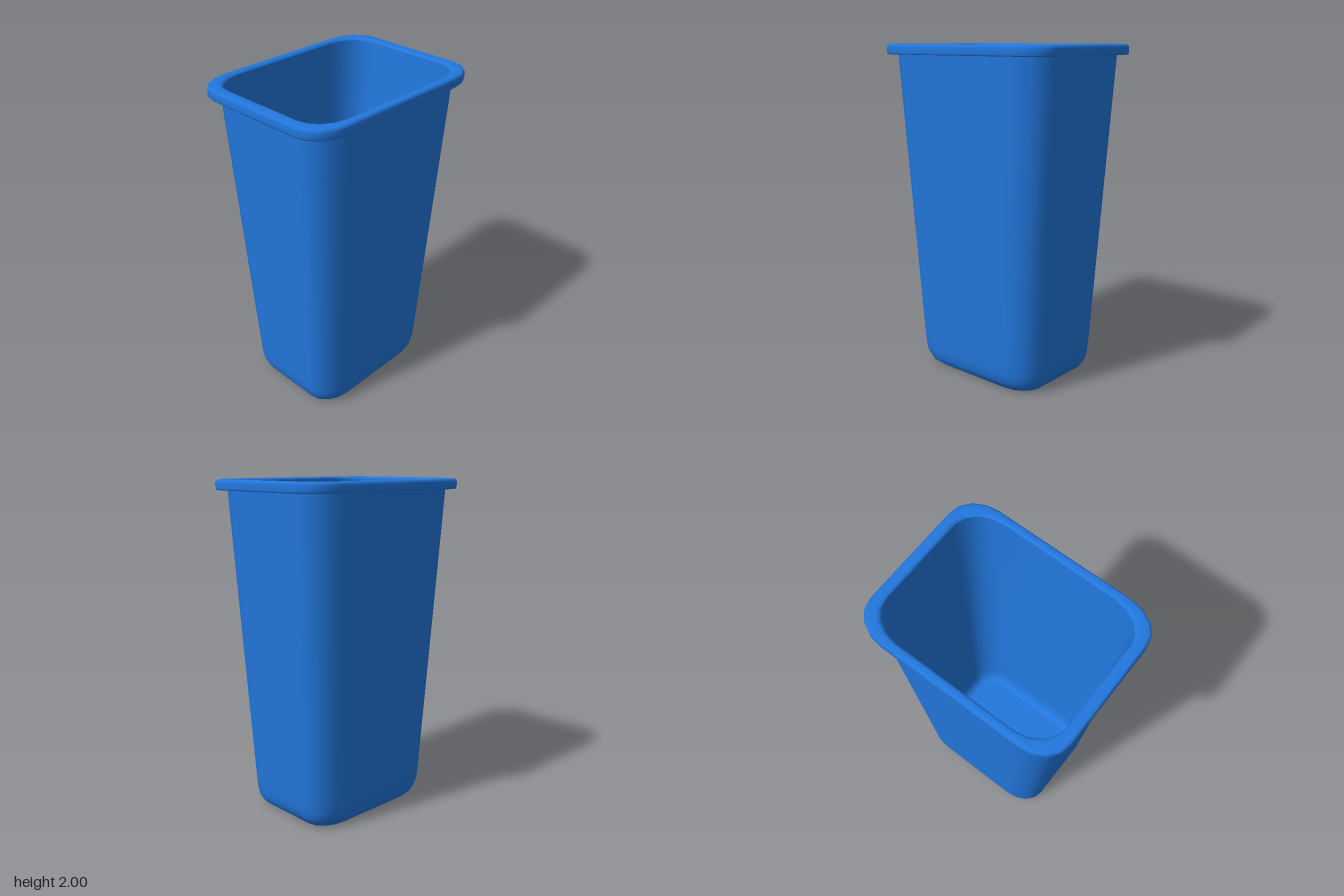
import * as THREE from 'three';

const CORNER_STEPS = 4;

// Rounded rectangle loop with half sizes hx, hz at height y
function ring([hx, hz, y]) {
  const rx = Math.min(0.2, hx * 0.4), rz = Math.min(0.16, hz * 0.42);
  const points = [];
  for (let q = 0; q < 4; q++) {
    const sx = q === 0 || q === 3 ? 1 : -1, sz = q < 2 ? 1 : -1;
    for (let i = 0; i <= CORNER_STEPS; i++) {
      const a = (q + i / CORNER_STEPS) * Math.PI / 2;
      points.push(sx * (hx - rx) + rx * Math.cos(a), y, sz * (hz - rz) + rz * Math.sin(a));
    }
  }
  return points;
}

// Smooth skin through a list of [halfX, halfZ, y] sections
function loft(name, sections, material) {
  const n = 4 * (CORNER_STEPS + 1), index = [];
  for (let i = 0; i < sections.length - 1; i++) {
    for (let j = 0; j < n; j++) {
      const a = i * n + j, b = i * n + (j + 1) % n;
      index.push(a, a + n, b, b, a + n, b + n);
    }
  }
  const geometry = new THREE.BufferGeometry();
  geometry.setAttribute('position', new THREE.Float32BufferAttribute(sections.flatMap(ring), 3));
  geometry.setIndex(index);
  geometry.computeVertexNormals();
  const mesh = new THREE.Mesh(geometry, material);
  mesh.name = name;
  return mesh;
}

export function createModel() {
  const group = new THREE.Group();
  group.name = 'wasteBin';
  const blue = new THREE.MeshStandardMaterial({ color: 0x2277dd, side: THREE.DoubleSide });
  blue.name = 'bluePlastic';

  const parts = {
    // Underside, slightly recessed inside a narrow foot
    base: [[0, 0, 0.008], [0.395, 0.287, 0.008]],
    foot: [[0.395, 0.287, 0.008], [0.397, 0.289, 0], [0.41, 0.302, 0]],
    // Tapered body with a rounded bottom edge
    outerWall: [[0.41, 0.302, 0], [0.435, 0.325, 0.02], [0.453, 0.342, 0.055],
      [0.463, 0.351, 0.1], [0.469, 0.356, 0.17], [0.572, 0.437, 1.98]],
    // Overhanging lip, hollow below
    lipUnderside: [[0.572, 0.437, 1.98], [0.612, 0.467, 1.98]],
    lipInnerFace: [[0.612, 0.467, 1.98], [0.612, 0.467, 1.94]],
    lipEdge: [[0.612, 0.467, 1.94], [0.619, 0.474, 1.94], [0.623, 0.478, 1.948],
      [0.623, 0.478, 1.982], [0.619, 0.474, 1.994], [0.609, 0.464, 2],
      [0.572, 0.441, 2], [0.56, 0.431, 1.997], [0.555, 0.426, 1.988]],
    // Hollow inside with a softly filleted floor
    innerWall: [[0.555, 0.426, 1.988], [0.452, 0.346, 0.17], [0.446, 0.341, 0.1],
      [0.436, 0.332, 0.06], [0.42, 0.318, 0.03], [0.4, 0.297, 0.018],
      [0.38, 0.28, 0.016], [0, 0, 0.016]],
  };
  for (const [name, sections] of Object.entries(parts)) group.add(loft(name, sections, blue));
  return group;
}
